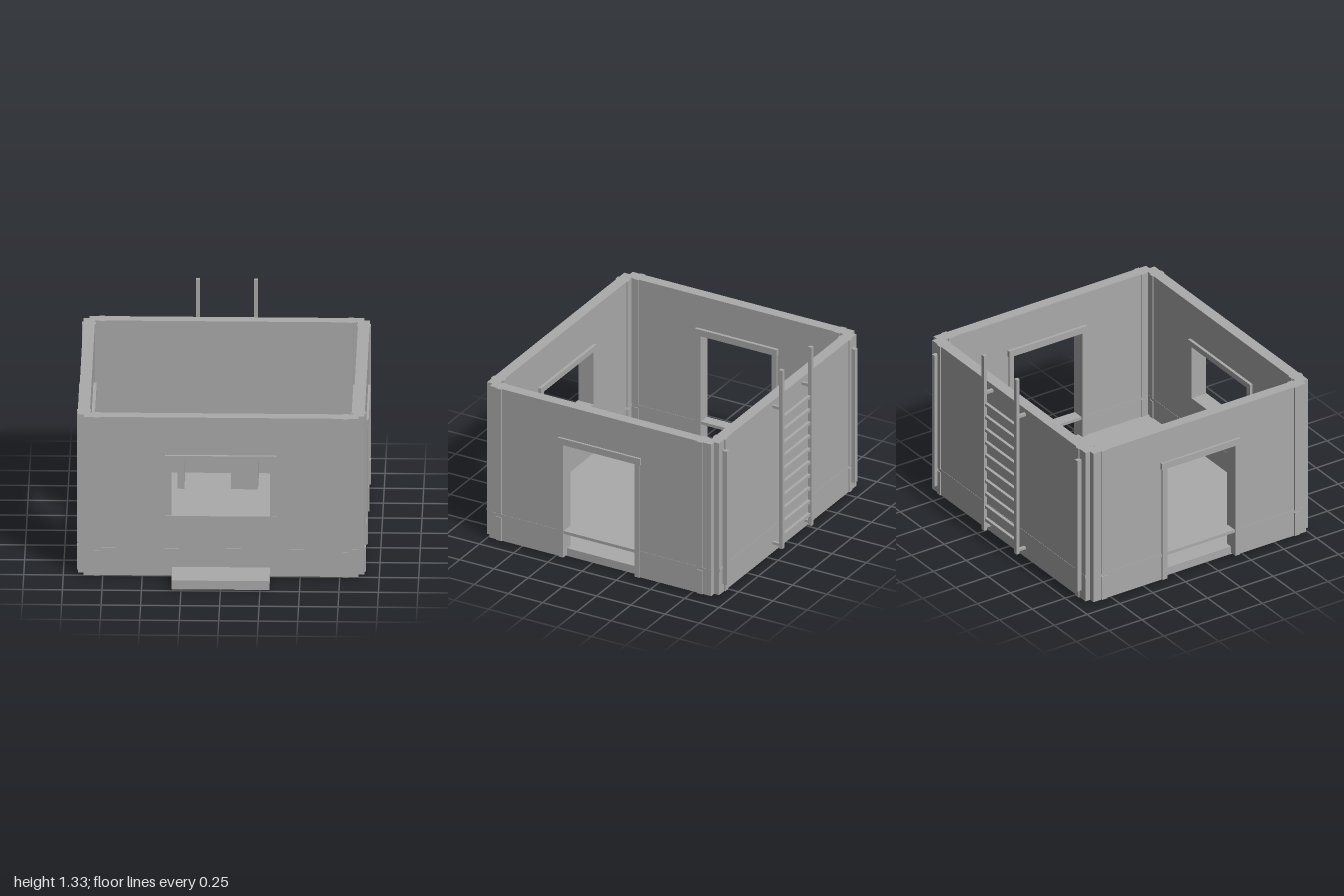
import * as THREE from 'three';

export function createModel() {
  const model = new THREE.Group();
  model.name = 'guardHut';
  const grey = new THREE.MeshStandardMaterial({ color: 0xaaaaaa });
  grey.name = 'concreteGrey';

  // Box given by its limits on each axis
  function box(name, x0, x1, y0, y1, z0, z1) {
    const mesh = new THREE.Mesh(new THREE.BoxGeometry(x1 - x0, y1 - y0, z1 - z0), grey);
    mesh.position.set((x0 + x1) / 2, (y0 + y1) / 2, (z0 + z1) / 2);
    mesh.name = name;
    model.add(mesh);
    return mesh;
  }
  // Box on the +x or -x side
  function sideBox(name, s, x0, x1, y0, y1, z0, z1) {
    return s > 0 ? box(name, x0, x1, y0, y1, z0, z1) : box(name, -x1, -x0, y0, y1, z0, z1);
  }

  const bottom = 0.01, top = 1.09;
  const inX = 0.833, outX = 0.907, endX = 0.87;
  const inF = 0.695, outF = 0.77, endF = 0.73;
  const inB = -0.852, outB = -0.926, endB = -0.89;

  // Floor, front step and back wall
  box('floor', -0.865, 0.865, 0, 0.055, -0.88, 0.73);
  box('frontStep', -0.31, 0.31, 0.01, 0.07, outF - 0.01, 1.0);
  box('backWall', -endX, endX, bottom, top, outB, inB);

  // Front wall with its window opening
  const wall = new THREE.Shape([
    [-endX, bottom], [endX, bottom], [endX, top], [-endX, top],
  ].map(p => new THREE.Vector2(...p)));
  wall.holes.push(new THREE.Path([
    [-0.315, 0.425], [-0.315, 0.797], [0.31, 0.797], [0.31, 0.425],
  ].map(p => new THREE.Vector2(...p))));
  const frontWall = new THREE.Mesh(
    new THREE.ExtrudeGeometry(wall, { depth: outF - inF, bevelEnabled: false }), grey);
  frontWall.position.z = inF;
  frontWall.name = 'frontWall';
  model.add(frontWall);

  // Window frame
  const wz0 = 0.675, wz1 = 0.789;
  box('windowFrameTop', -0.355, 0.35, 0.797, 0.835, wz0, wz1);
  box('windowFrameBottom', -0.355, 0.35, 0.385, 0.425, wz0, wz1);
  box('windowFrameSide', -0.355, -0.315, 0.425, 0.797, wz0, wz1 - 0.004);
  box('windowFrameSide', 0.31, 0.35, 0.425, 0.797, wz0, wz1 - 0.004);

  // Thin belt along the front and back walls
  const b0 = 0.177, b1 = 0.197;
  box('frontBelt', -endX, endX, b0, b1, inF - 0.002, outF + 0.002);
  box('backBelt', -endX, endX, b0, b1, outB - 0.002, inB + 0.002);

  for (const s of [1, -1]) {
    // Side wall around the doorway
    sideBox('sideWallFront', s, inX, outX, bottom, top, 0.19, endF);
    sideBox('sideWallBack', s, inX, outX, bottom, top, endB, -0.335);
    sideBox('sideWallLintel', s, inX, outX, 0.82, top, -0.335, 0.19);
    // Belt, which also crosses the doorway as a bar
    sideBox('sideBelt', s, inX - 0.002, outX + 0.002, b0, b1, endB, endF);
    // Door frame
    sideBox('doorJamb', s, 0.822, 0.916, bottom, 0.82, 0.187, 0.222);
    sideBox('doorJamb', s, 0.822, 0.916, bottom, 0.82, -0.37, -0.333);
    sideBox('doorHeader', s, 0.812, 0.922, 0.815, 0.86, -0.377, 0.222);

    // Raised strips beside each corner, parted at the belt
    for (const [y0, y1] of [[bottom, b0], [b1, top]]) {
      sideBox('frontStrip', s, 0.77, 0.805, y0, y1, inF - 0.007, outF + 0.008);
      sideBox('backStrip', s, 0.77, 0.805, y0, y1, outB - 0.008, inB + 0.007);
      sideBox('sideStripFront', s, inX - 0.007, outX + 0.008, y0, y1, 0.64, 0.678);
      sideBox('sideStripBack', s, inX - 0.007, outX + 0.008, y0, y1, -0.828, -0.787);
    }
    // Square downpipe on the back wall
    sideBox('downpipe', s, 0.796, 0.826, 0.07, 1.02, -0.958, outB);

    // Ladder rail with its wall brackets
    sideBox('ladderRail', s, 0.172, 0.197, 0.055, 1.325, -1.0, -0.975);
    sideBox('ladderBracket', s, 0.175, 0.194, 1.04, 1.06, -0.98, outB);
    sideBox('ladderBracket', s, 0.175, 0.194, 0.07, 0.087, -0.98, outB);
  }

  // Ladder rungs
  for (let i = 0; i < 10; i++) {
    const y = 0.125 + i * 0.093;
    box('ladderRung', -0.175, 0.175, y, y + 0.02, -0.993, -0.972);
  }

  // Desk against the back wall, with a side panel and a cabinet
  box('deskPanel', -0.305, -0.262, 0.055, 0.3, -0.845, -0.58);
  box('deskTop', -0.262, 0.035, 0.27, 0.295, -0.845, -0.58);
  box('deskCabinet', 0.035, 0.205, 0.055, 0.3, -0.845, -0.58);
  box('deskPad', 0.057, 0.183, 0.3, 0.306, -0.82, -0.612);

  return model;
}
